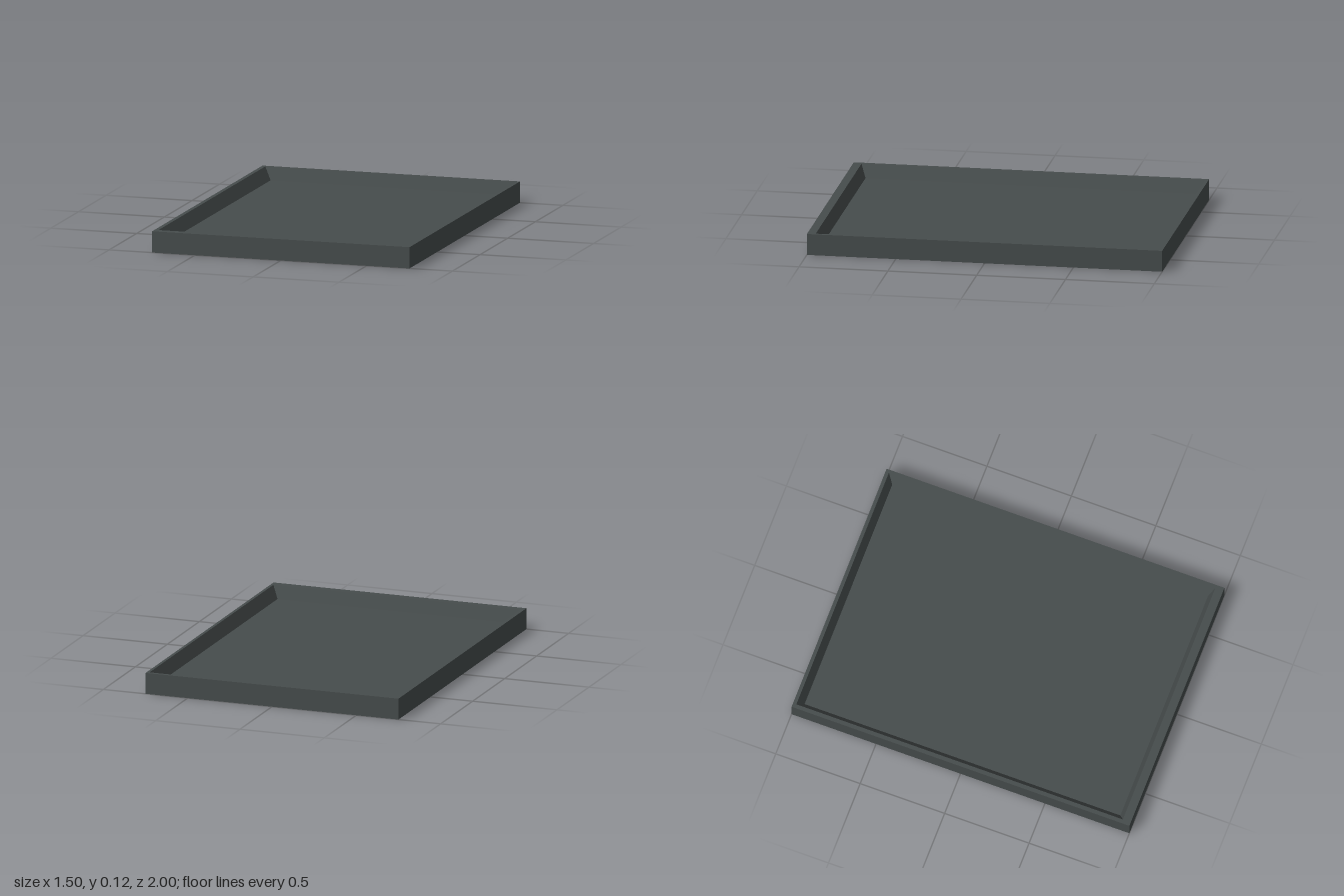
import * as THREE from 'three';

// Rectangular loop of corners, counter-clockwise seen from above
const loop = (x0, x1, z0, z1, y) => [[x0, y, z1], [x1, y, z1], [x1, y, z0], [x0, y, z0]];

// Flat-shaded geometry from four-cornered faces
function fromQuads(quads) {
  const points = quads.flatMap(([a, b, c, d]) => [a, b, c, a, c, d]).flat();
  const geometry = new THREE.BufferGeometry();
  geometry.setAttribute('position', new THREE.Float32BufferAttribute(points, 3));
  geometry.computeVertexNormals();
  return geometry;
}

// Band of faces joining two loops
const band = (a, b) => a.map((p, i) => {
  const j = (i + 1) % a.length;
  return [p, a[j], b[j], b[i]];
});

export function createModel() {
  const group = new THREE.Group();
  group.name = 'tray';
  const material = new THREE.MeshStandardMaterial({ color: 0x464c4c });

  const base = loop(-0.75, 0.75, -1, 1, 0);
  const outerTop = loop(-0.75, 0.75, -1, 1, 0.12);
  const innerTop = loop(-0.727, 0.733, -0.98, 0.953, 0.12);
  const floor = loop(-0.686, 0.697, -0.947, 0.923, 0.05);

  const add = (name, quads) => {
    const mesh = new THREE.Mesh(fromQuads(quads), material);
    mesh.name = name;
    group.add(mesh);
  };

  add('outerWalls', band(base, outerTop));
  add('rim', band(outerTop, innerTop));
  add('slopedInnerWalls', band(innerTop, floor));
  add('floor', [floor]);
  add('underside', [[...base].reverse()]);

  return group;
}
